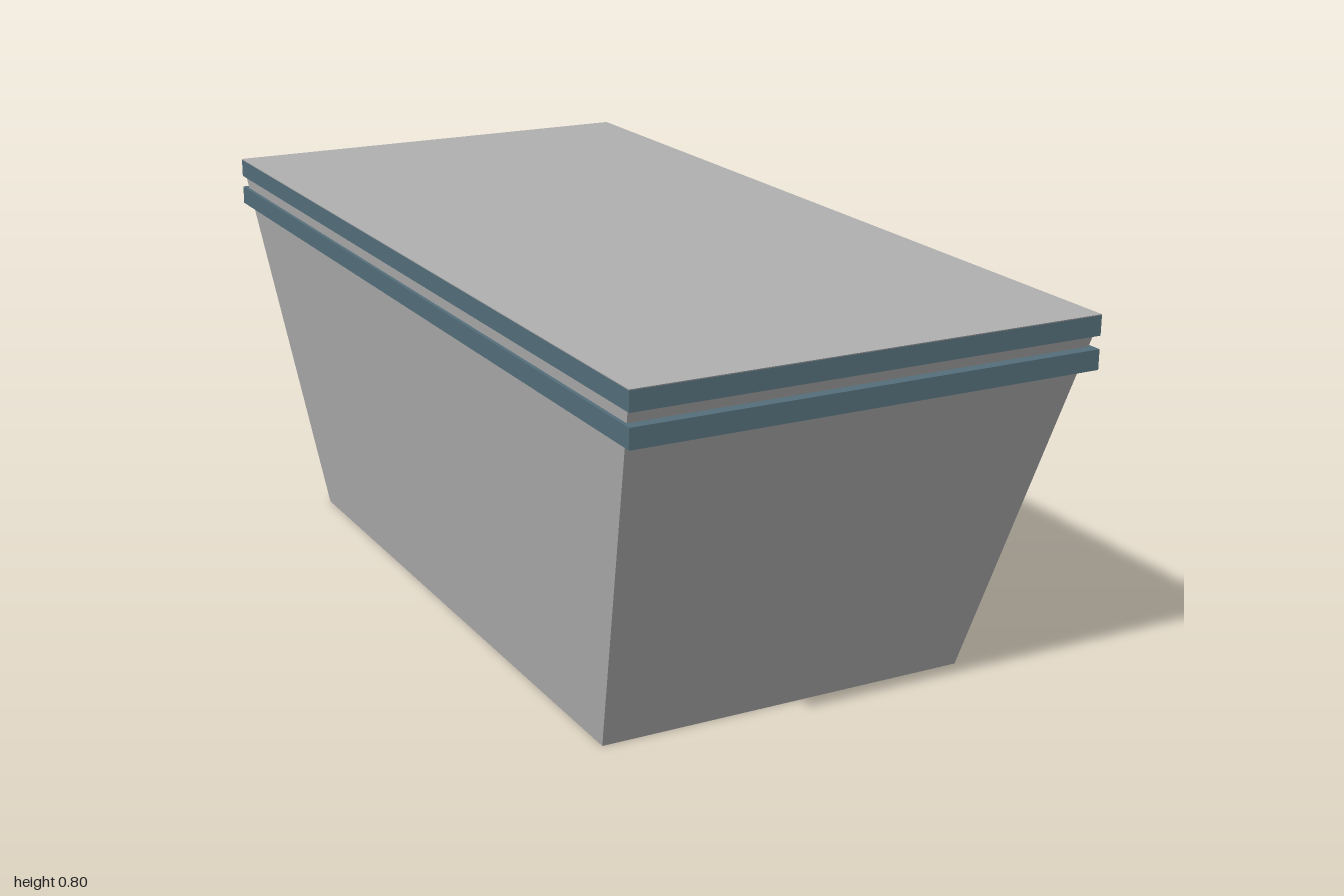
import * as THREE from 'three';

const HEIGHT = 0.795;
const TOP = { x: 0.488, z: 1.0 };
const BASE = { x: 0.4, z: 0.725 };

export function createModel() {
  const model = new THREE.Group();
  model.name = 'taperedContainer';

  const grey = new THREE.MeshStandardMaterial({ color: 0xb0b0b0 });
  grey.name = 'light grey';
  const slate = new THREE.MeshStandardMaterial({ color: 0x546e7a });
  slate.name = 'slate blue';

  // Tapered body: a box whose lower corners are drawn in; its underside is slate
  const bodyGeometry = new THREE.BoxGeometry(TOP.x * 2, HEIGHT, TOP.z * 2);
  bodyGeometry.translate(0, HEIGHT / 2, 0);
  const pos = bodyGeometry.attributes.position;
  for (let i = 0; i < pos.count; i++) {
    if (pos.getY(i) < HEIGHT / 2) {
      pos.setX(i, Math.sign(pos.getX(i)) * BASE.x);
      pos.setZ(i, Math.sign(pos.getZ(i)) * BASE.z);
    }
  }
  bodyGeometry.computeVertexNormals();
  const body = new THREE.Mesh(bodyGeometry, [grey, grey, grey, slate, grey, grey]);
  body.name = 'body';
  model.add(body);

  // Two rim bands; the upper one stops just under the grey top face
  const bands = [
    ['lowerRimBand', 0.688, 0.728],
    ['upperRimBand', 0.754, HEIGHT - 0.002],
  ];
  for (const [name, bottom, top] of bands) {
    const band = new THREE.Mesh(
      new THREE.BoxGeometry(TOP.x * 2, top - bottom, TOP.z * 2), slate);
    band.position.y = (bottom + top) / 2;
    band.name = name;
    model.add(band);
  }
  return model;
}
